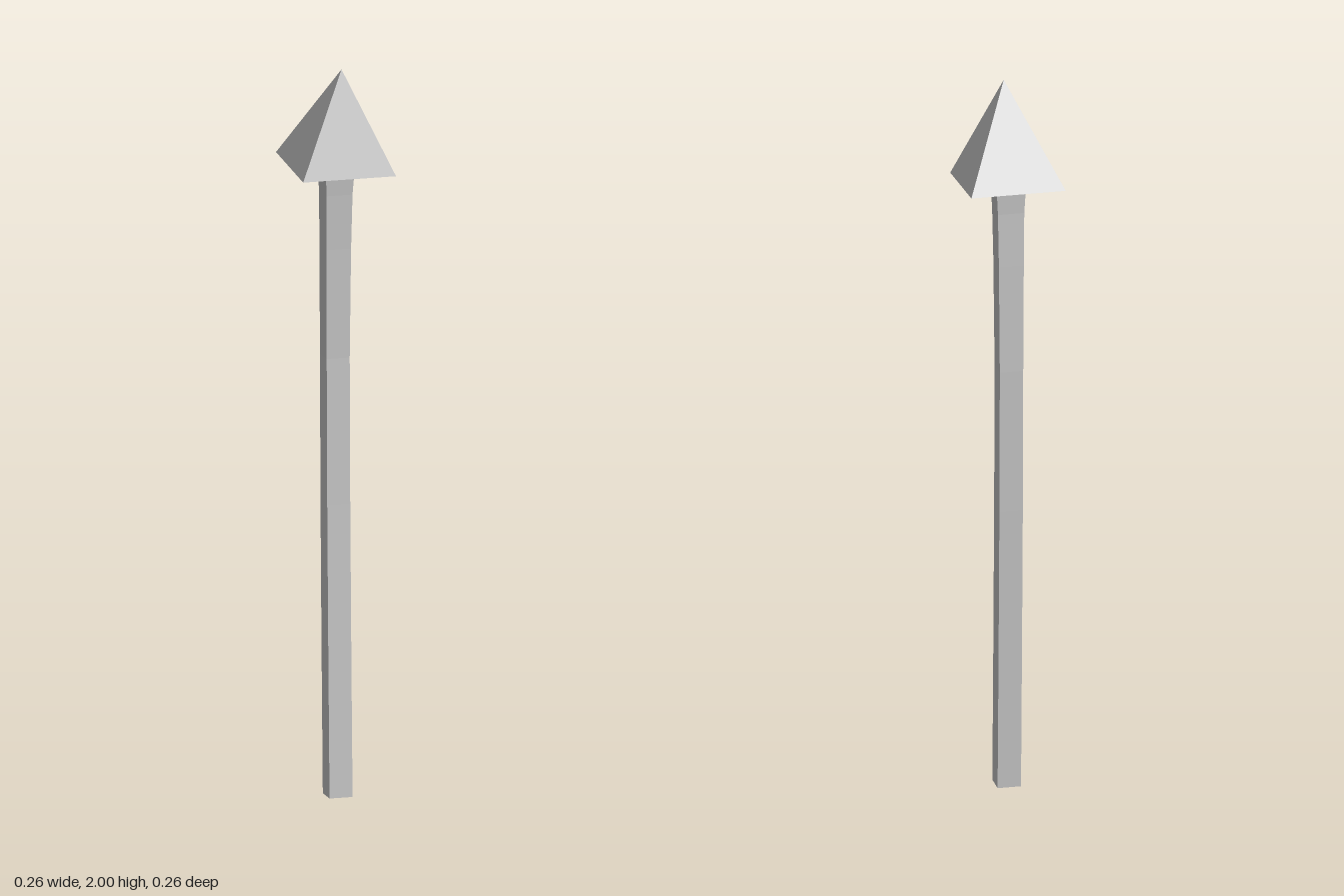
import * as THREE from 'three';

// Square ring: half size h, centre height y and depth z, tilt = rise towards the back
const ring = ([y, z, h, tilt = 0]) =>
  [[1, 1], [1, -1], [-1, -1], [-1, 1]].map(([sx, sz]) => [sx * h, y - sz * tilt, z + sz * h]);

// Skin of quads through successive square rings
function loft(name, sections, capStart = false) {
  const points = sections.flatMap(ring);
  const index = [];
  for (let r = 0; r < sections.length - 1; r++) {
    for (let i = 0; i < 4; i++) {
      const a = r * 4 + i, b = r * 4 + (i + 1) % 4;
      index.push(a, b, b + 4, a, b + 4, a + 4);
    }
  }
  if (capStart) index.push(0, 2, 1, 0, 3, 2);
  const geometry = new THREE.BufferGeometry();
  geometry.setAttribute('position', new THREE.Float32BufferAttribute(points.flat(), 3));
  geometry.setIndex(index);
  const flat = geometry.toNonIndexed();
  flat.computeVertexNormals();
  const mesh = new THREE.Mesh(flat, new THREE.MeshStandardMaterial({ color: 0xcccccc, flatShading: true }));
  mesh.name = name;
  return mesh;
}

export function createModel() {
  const group = new THREE.Group();
  group.name = 'arrow';

  // Bowed square shaft, flaring slightly into the head
  const neck = [1.737, 0, 0.041, 0.004];
  group.add(loft('shaft', [
    [0, 0.016, 0.032],
    [0.4, 0.004, 0.032],
    [0.8, -0.006, 0.032],
    [1.2, -0.011, 0.032],
    [1.5, -0.007, 0.034],
    [1.65, -0.002, 0.036],
    neck,
  ], true));

  // Tilted pyramid head: shallow hollow underside, then sides up to the tip
  group.add(loft('arrowHead', [
    neck,
    [1.728, 0, 0.129, 0.012],
    [2, 0.052, 0.0001],
  ]));
  return group;
}
